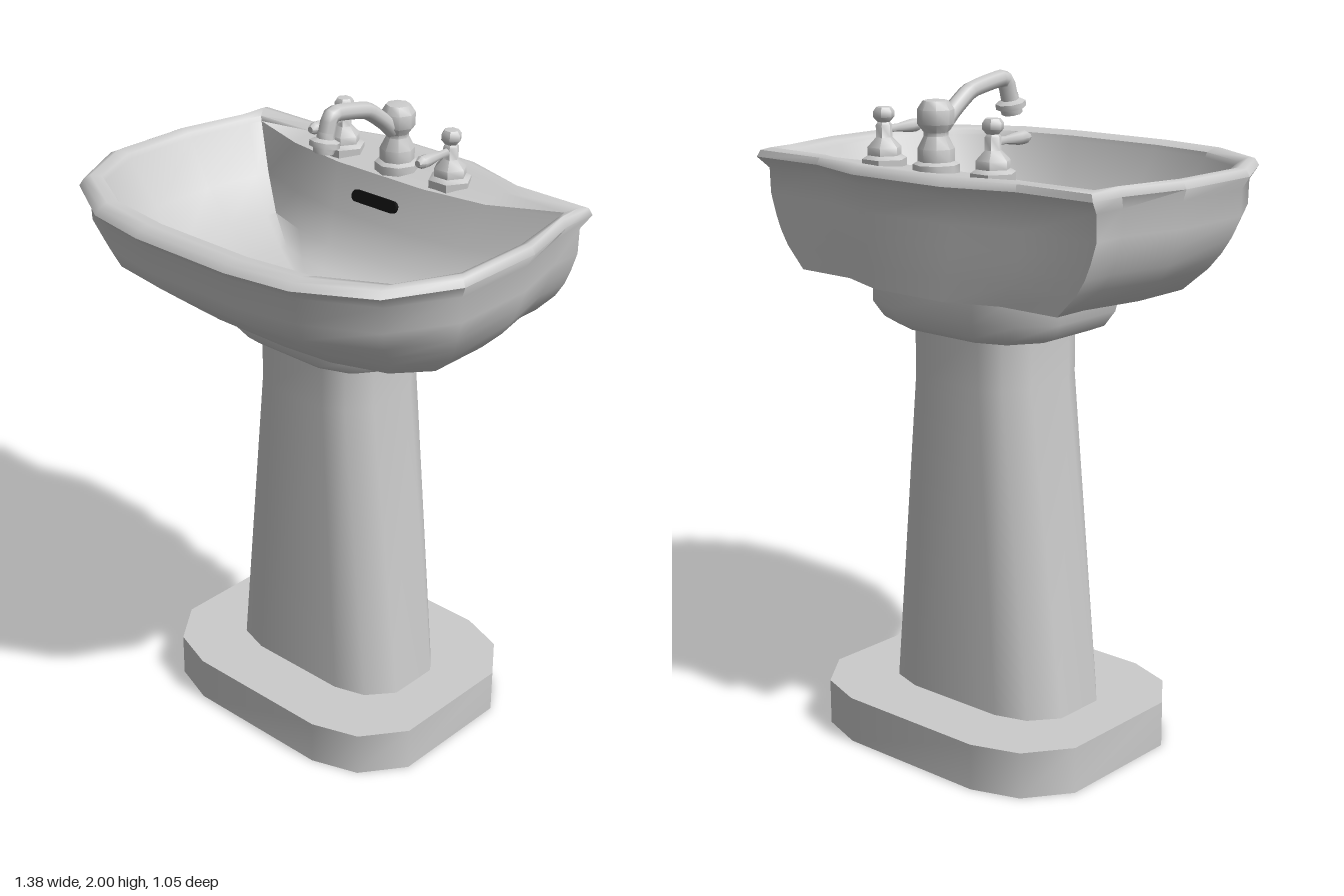
import * as THREE from 'three';
import { toCreasedNormals, mergeVertices } from 'three/addons/utils/BufferGeometryUtils.js';

const ceramic = new THREE.MeshStandardMaterial({ color: 0xcccccc });
const black = new THREE.MeshStandardMaterial({ color: 0x111111 });

function addMesh(parent, name, geometry, material = ceramic) {
  const mesh = new THREE.Mesh(geometry, material);
  mesh.name = name;
  parent.add(mesh);
  return mesh;
}

// Skin over closed rings of [x, y, z] points, with a centre point closing each end
function loft(rings, bottom, top, crease = 0.9) {
  const n = rings[0].length;
  const points = [...rings.flat(), bottom, top];
  const last = rings.length - 1;
  const b = rings.length * n;
  const index = [];
  for (let j = 0; j < n; j++) {
    const k = (j + 1) % n;
    for (let i = 0; i < last; i++) {
      const a = i * n;
      index.push(a + j, a + k, a + n + k, a + j, a + n + k, a + n + j);
    }
    index.push(b, k, j, b + 1, last * n + j, last * n + k);
  }
  const g = new THREE.BufferGeometry();
  g.setAttribute('position', new THREE.Float32BufferAttribute(points.flat(), 3));
  g.setIndex(index);
  return toCreasedNormals(g, crease);
}

// Full outline from its +x half, running front to back and returning along -x
function mirrored(half) {
  return [...half, ...half.slice().reverse().map(([x, z]) => [-x, z])];
}

// Rectangle with rounded corners, as a ring at height y
function roundedRing(y, cx, cz, w, d, cornerX, cornerZ) {
  const half = [
    [w - cornerX, d], [w - cornerX * 0.4, d - cornerZ * 0.28], [w, d - cornerZ],
    [w, cornerZ - d], [w - cornerX * 0.4, cornerZ * 0.28 - d], [w - cornerX, -d],
  ];
  return mirrored(half).map(([x, z]) => [x + cx, y, z + cz]);
}

function basinGeometry() {
  const outer = mirrored([
    [0.17, 0.523], [0.373, 0.49], [0.58, 0.37], [0.688, 0.165], [0.688, -0.13],
    [0.637, -0.34], [0.637, -0.46], [0.38, -0.46], [0.168, -0.525],
  ]);
  const inner = mirrored([
    [0.165, 0.43], [0.375, 0.4], [0.558, 0.3], [0.64, 0.125], [0.64, -0.13],
    [0.6, -0.34], [0.59, -0.39], [0.37, -0.395], [0.165, -0.46],
  ]);
  // Bowl edge: the back points step forward to leave a deck for the taps
  const bowl = inner.map(([x, z], j) => {
    const p = Math.min(j, 17 - j);
    return p === 8 ? [x, -0.285] : p === 7 ? [x, -0.315] : [x * 0.99, z * 0.99];
  });
  // Outside: height, x scale, front z scale, back z scale
  const outside = [
    [1.405, 0.77, 0.48, 0.92], [1.47, 0.87, 0.64, 0.92], [1.515, 0.915, 0.75, 0.92],
    [1.56, 0.945, 0.86, 0.92], [1.62, 0.975, 0.92, 0.92], [1.695, 0.975, 0.93, 0.925],
    [1.73, 1, 1, 1], [1.75, 0.985, 0.975, 0.985],
  ].map(([y, sx, front, back]) => outer.map(([x, z]) => [x * sx, y, z * (z > 0 ? front : back)]));
  const rimTop = outer.map(([x, z], j) => [(x + inner[j][0]) / 2, 1.756, (z + inner[j][1]) / 2]);
  const rimInside = inner.map(([x, z]) => [x, 1.745, z]);
  const inside = [[1.73, 1], [1.6, 0.85], [1.51, 0.68], [1.465, 0.45], [1.448, 0.2]].map(
    ([y, s]) => bowl.map(([x, z]) => [x * s, y, 0.02 + (z - 0.02) * s]));
  return loft([...outside, rimTop, rimInside, ...inside], [0, 1.405, -0.12], [0, 1.445, 0.02], 1.0);
}

function lathe(profile, sides) {
  const g = new THREE.LatheGeometry(profile.map(([r, y]) => new THREE.Vector2(r, y)), sides);
  g.deleteAttribute('uv');
  g.deleteAttribute('normal');
  return toCreasedNormals(mergeVertices(g), 0.85);
}

function makeTapHandle(x) {
  const handle = new THREE.Group();
  handle.name = 'tapHandle';
  handle.position.set(x, 0, -0.36);
  addMesh(handle, 'handleBase', lathe([
    [0.066, 1.725], [0.066, 1.755], [0.05, 1.765], [0.05, 1.788], [0.024, 1.815], [0.024, 1.85],
    [0.018, 1.858], [0.031, 1.872], [0.031, 1.888], [0.022, 1.9], [0, 1.902],
  ], 6)).rotation.y = Math.PI / 6;
  // Teardrop lever pointing forward
  const lever = addMesh(handle, 'handleLever', lathe([
    [0.013, 0], [0.011, 0.05], [0.019, 0.105], [0.019, 0.13], [0.01, 0.148], [0, 0.15],
  ], 8));
  lever.rotation.x = Math.PI / 2;
  lever.position.y = 1.837;
  return handle;
}

function makeFaucet() {
  const faucet = new THREE.Group();
  faucet.name = 'faucet';
  faucet.position.x = 0.006;
  addMesh(faucet, 'faucetBody', lathe([
    [0.066, 1.725], [0.066, 1.757], [0.052, 1.765], [0.052, 1.8], [0.034, 1.835], [0.034, 1.845],
    [0.052, 1.868], [0.052, 1.908], [0.036, 1.932], [0, 1.937],
  ], 8)).position.z = -0.355;
  const path = new THREE.CatmullRomCurve3([
    [1.86, -0.33], [1.9, -0.285], [1.945, -0.22], [1.96, -0.16],
    [1.972, -0.085], [1.962, -0.062], [1.9, -0.043],
  ].map(([y, z]) => new THREE.Vector3(0, y, z)), false, 'catmullrom', 0.3);
  addMesh(faucet, 'spout', new THREE.TubeGeometry(path, 20, 0.025, 8, false));
  // Flared outlet at the end of the spout
  const outlet = addMesh(faucet, 'spoutOutlet', lathe([
    [0, -0.03], [0.03, -0.03], [0.032, -0.014], [0.044, -0.012], [0.044, 0.004], [0.026, 0.012], [0.025, 0.03],
  ], 8));
  outlet.position.set(0, 1.897, -0.042);
  outlet.rotation.x = -0.2;
  return faucet;
}

export function createModel() {
  const sink = new THREE.Group();
  sink.name = 'pedestalSink';
  const cx = -0.018, cz = -0.138;

  // Pedestal
  const foot = [0, 0.14].map((y) => roundedRing(y, cx, -0.14, 0.483, 0.385, 0.24, 0.18));
  addMesh(sink, 'foot', loft(foot, [cx, 0, -0.14], [cx, 0.14, -0.14]));
  const column = [[0.13, 0.328], [1.12, 0.21], [1.29, 0.21]].map(
    ([y, w]) => roundedRing(y, cx, cz, w, 0.193, w * 0.5, 0.11));
  addMesh(sink, 'column', loft(column, [cx, 0.13, cz], [cx, 1.29, cz]));
  const collar = [[1.27, 0.27, 0.225], [1.29, 0.318, 0.247], [1.335, 0.348, 0.273], [1.415, 0.348, 0.273]].map(
    ([y, w, d]) => roundedRing(y, cx, cz, w, d, w * 0.55, d * 0.55));
  addMesh(sink, 'collar', loft(collar, [cx, 1.27, cz], [cx, 1.415, cz]));

  // Basin with drain and overflow slot
  addMesh(sink, 'basin', basinGeometry());
  const drain = addMesh(sink, 'drain', new THREE.CylinderGeometry(0.054, 0.054, 0.02, 6), black);
  drain.position.set(0.006, 1.445, -0.01);
  drain.rotation.y = Math.PI / 6;
  const slot = new THREE.Shape();
  slot.absarc(0.068, 0, 0.018, -Math.PI / 2, Math.PI / 2);
  slot.absarc(-0.068, 0, 0.018, Math.PI / 2, Math.PI * 1.5);
  const overflow = addMesh(sink, 'overflowSlot',
    new THREE.ExtrudeGeometry(slot, { depth: 0.02, bevelEnabled: false, curveSegments: 6 }), black);
  overflow.position.set(0.01, 1.655, -0.267);
  overflow.rotation.x = -0.34;

  // Taps
  sink.add(makeFaucet(), makeTapHandle(-0.21), makeTapHandle(0.204));
  return sink;
}
